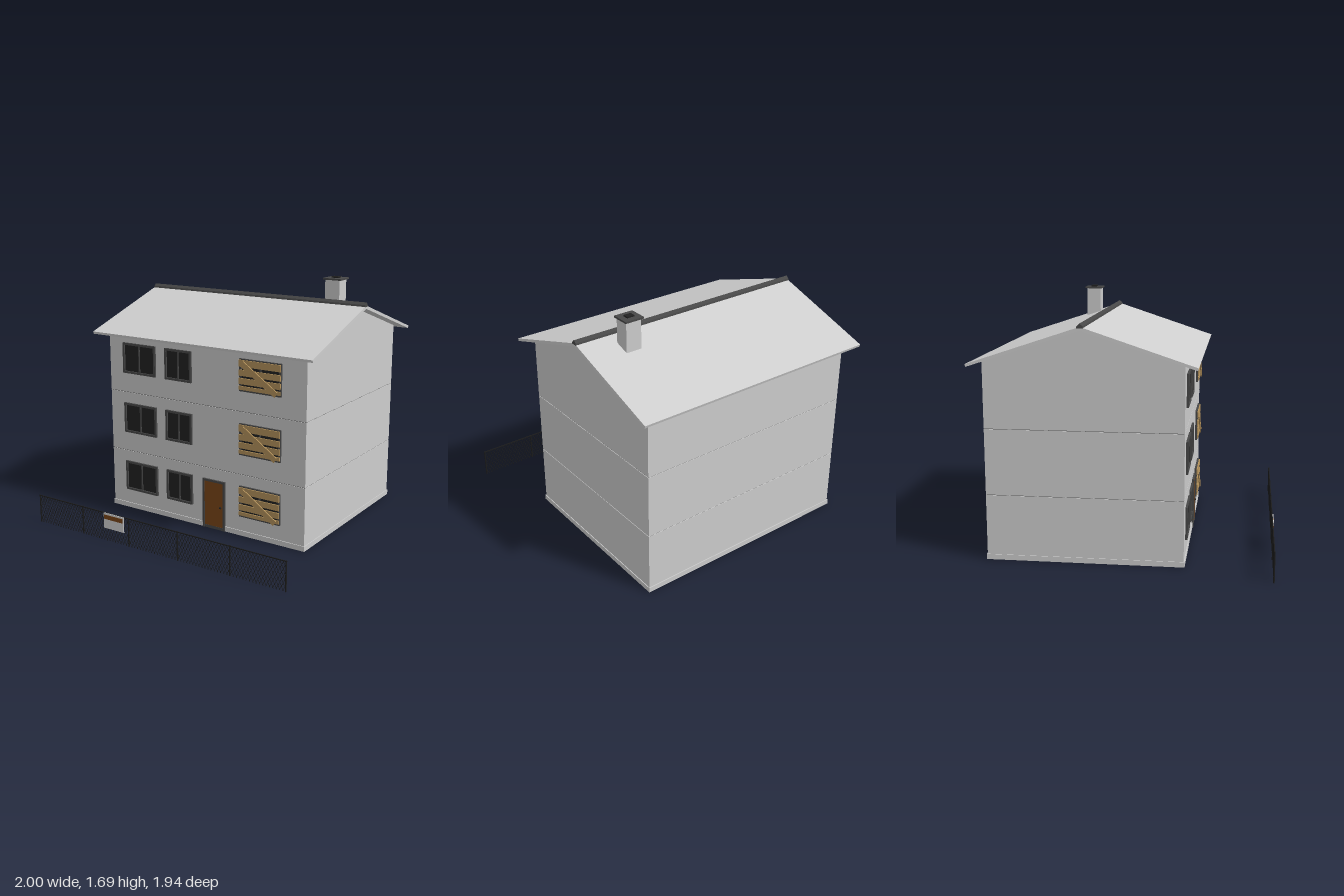
import * as THREE from 'three';
import { mergeGeometries } from 'three/addons/utils/BufferGeometryUtils.js';

const mat = (name, color) => {
  const m = new THREE.MeshStandardMaterial({ color });
  m.name = name;
  return m;
};

export function createModel() {
  const M = {
    wall: mat('wall grey', 0xcdcdcd),
    roof: mat('roof grey', 0xcfcfcf),
    seam: mat('seam grey', 0x6a6a6a),
    dark: mat('charcoal trim', 0x484848),
    glass: mat('dark glass', 0x222222),
    wood: mat('board tan', 0xb5935c),
    door: mat('door brown', 0x7a4618),
    wire: mat('fence black', 0x1c1c1c),
    sign: mat('sign grey', 0xd2d2d2),
  };
  const root = new THREE.Group();
  root.name = 'house';

  // Box given by its minimum and maximum corners
  const boxGeo = (x0, x1, y0, y1, z0, z1) =>
    new THREE.BoxGeometry(x1 - x0, y1 - y0, z1 - z0)
      .translate((x0 + x1) / 2, (y0 + y1) / 2, (z0 + z1) / 2);
  const add = (parent, name, geo, material) => {
    const mesh = new THREE.Mesh(geo, material);
    mesh.name = name;
    parent.add(mesh);
    return mesh;
  };
  const box = (parent, name, material, ...b) => add(parent, name, boxGeo(...b), material);
  // Prism running along x from a (z, y) section
  const prism = (name, material, pts, halfLen, z) => {
    const shape = new THREE.Shape(pts.map(p => new THREE.Vector2(...p)));
    const geo = new THREE.ExtrudeGeometry(shape, { depth: halfLen * 2, bevelEnabled: false })
      .translate(0, 0, -halfLen).rotateY(-Math.PI / 2).translate(0, 0, z);
    return add(root, name, geo, material);
  };

  const F = 0.395, B = -0.885, RIDGE = -0.245, STOREY = 0.435;

  // Storeys with thin dark seams, on a low plinth
  for (let i = 0; i < 3; i++) {
    box(root, 'storey', M.wall, -0.8, 0.8, i * STOREY + (i ? 0.002 : 0), (i + 1) * STOREY - 0.002, B, F);
    if (i) box(root, 'floorSeam', M.seam, -0.797, 0.797, i * STOREY - 0.003, i * STOREY + 0.003, B + 0.003, F - 0.003);
  }
  box(root, 'plinth', M.wall, -0.805, 0.805, 0, 0.035, B - 0.006, F + 0.006);

  // Gable, roof and ridge cap
  prism('gable', M.wall, [[-0.64, 1.303], [0.64, 1.303], [0, 1.512]], 0.8, RIDGE);
  prism('roof', M.roof, [[-0.725, 1.295], [-0.72, 1.278], [0, 1.513], [0.72, 1.278], [0.725, 1.295], [0, 1.535]], 0.88, RIDGE);
  prism('ridgeCap', M.dark, [[-0.022, 1.526], [0.022, 1.526], [0.018, 1.54], [0, 1.556], [-0.018, 1.54]], 0.881, RIDGE);

  // Chimney
  const chimney = new THREE.Group();
  chimney.name = 'chimney';
  root.add(chimney);
  box(chimney, 'chimneyStack', M.wall, 0.52, 0.63, 1.42, 1.672, -0.44, -0.34);
  box(chimney, 'chimneyCap', M.dark, 0.508, 0.642, 1.672, 1.684, -0.454, -0.33);
  box(chimney, 'chimneyFlue', M.glass, 0.55, 0.602, 1.684, 1.693, -0.413, -0.373);

  // Rectangular frame with a hole
  const frame = (parent, name, x0, x1, y0, y1, t, bottom) => {
    const bars = [
      boxGeo(x0, x0 + t, y0, y1, F - 0.005, F + 0.014),
      boxGeo(x1 - t, x1, y0, y1, F - 0.005, F + 0.014),
      boxGeo(x0 + t, x1 - t, y1 - t, y1, F - 0.005, F + 0.014),
    ];
    if (bottom) bars.push(boxGeo(x0 + t, x1 - t, y0, y0 + t, F - 0.005, F + 0.014));
    add(parent, name, mergeGeometries(bars), M.dark);
  };

  // Windows: two glazed and one boarded per storey
  const openings = [[-0.675, -0.39, false], [-0.307, -0.085, false], [0.303, 0.62, true]];
  for (let i = 0; i < 3; i++) {
    for (const [x0, x1, boarded] of openings) {
      const y0 = 0.14 + i * STOREY, y1 = y0 + 0.217, xm = (x0 + x1) / 2;
      const win = new THREE.Group();
      win.name = boarded ? 'boardedWindow' : 'window';
      root.add(win);
      frame(win, 'windowFrame', x0, x1, y0, y1, 0.015, true);
      box(win, 'glass', M.glass, x0 + 0.01, x1 - 0.01, y0 + 0.01, y1 - 0.01, F - 0.004, F + 0.004);
      box(win, 'mullion', M.dark, xm - 0.005, xm + 0.005, y0 + 0.015, y1 - 0.015, F, F + 0.01);
      if (!boarded) continue;
      for (const [a, b] of [[0.012, 0.037], [0.05, 0.09], [0.105, 0.145], [0.165, 0.21]])
        box(win, 'plank', M.wood, x0 + 0.002, x1 - 0.002, y0 + a, y0 + b, F + 0.014, F + 0.022);
      const brace = add(win, 'diagonalPlank', new THREE.BoxGeometry(0.31, 0.04, 0.008), M.wood);
      brace.position.set(xm, y0 + 0.1, F + 0.026);
      brace.rotation.z = -0.59;
    }
  }

  // Front door
  const door = new THREE.Group();
  door.name = 'door';
  root.add(door);
  frame(door, 'doorFrame', 0.004, 0.186, 0, 0.355, 0.015, false);
  box(door, 'doorLeaf', M.door, 0.019, 0.171, 0.02, 0.34, F, F + 0.009);
  box(door, 'doorStep', M.dark, 0.019, 0.171, 0, 0.02, F, F + 0.01);
  const knob = add(door, 'doorHandle', new THREE.SphereGeometry(0.008, 12, 8), M.glass);
  knob.position.set(0.15, 0.165, F + 0.013);

  // Fence: posts, top rail and crossed wires
  const fence = new THREE.Group();
  fence.name = 'fence';
  root.add(fence);
  const FZ = 0.96;
  for (let i = 0; i < 6; i++) {
    const post = add(fence, 'fencePost', new THREE.CylinderGeometry(0.005, 0.005, 0.2, 8), M.wire);
    post.position.set(-0.995 + i * 0.398, 0.1, FZ);
  }
  box(fence, 'topRail', M.wire, -1, 1, 0.192, 0.198, FZ - 0.003, FZ + 0.003);
  const wires = [], H = 0.194, RUN = 0.1;
  for (let x = -1.095; x < 1; x += 0.0235) {
    const a = Math.max(x, -0.995), b = Math.min(x + RUN, 0.995);
    if (b - a < 0.004) continue;
    const ya = (a - x) / RUN * H, yb = (b - x) / RUN * H;
    for (const s of [1, -1]) {
      wires.push(new THREE.BoxGeometry(Math.hypot(b - a, yb - ya), 0.0026, 0.0015)
        .rotateZ(s * Math.atan2(yb - ya, b - a))
        .translate((a + b) / 2, s > 0 ? (ya + yb) / 2 : H - (ya + yb) / 2, FZ + s * 0.0008));
    }
  }
  add(fence, 'wireMesh', mergeGeometries(wires), M.wire);

  // Sign hung on the fence
  box(fence, 'signBoard', M.sign, -0.405, -0.235, 0.09, 0.197, FZ + 0.003, FZ + 0.008);
  box(fence, 'signStripe', M.door, -0.4, -0.242, 0.155, 0.185, FZ + 0.008, FZ + 0.01);

  return root;
}
